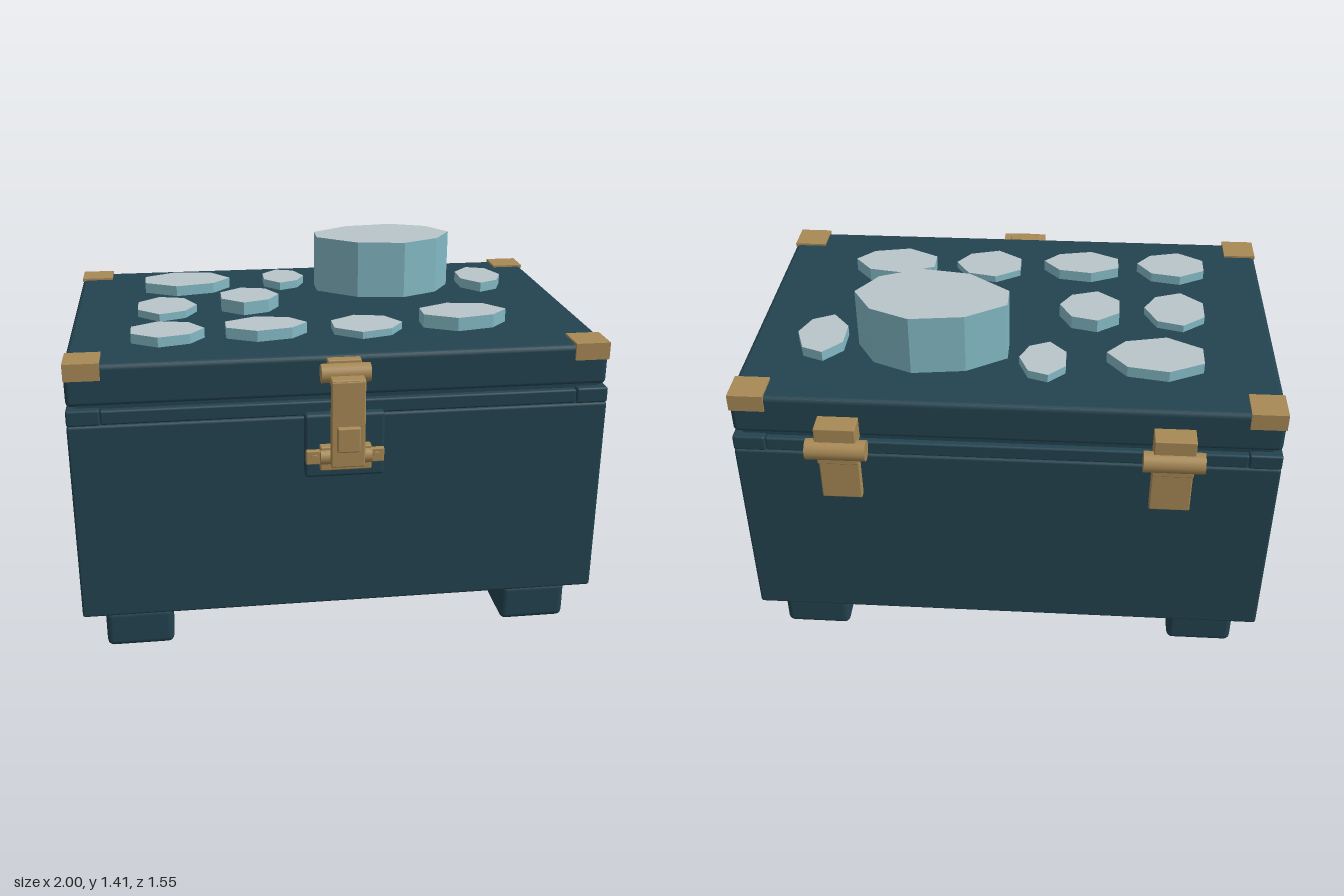
import * as THREE from 'three';
import { RoundedBoxGeometry } from 'three/addons/geometries/RoundedBoxGeometry.js';

const material = (name, color) => {
  const m = new THREE.MeshStandardMaterial({ color });
  m.name = name;
  return m;
};

export function createModel() {
  const navy = material('navy', 0x23434f);
  const brass = material('brass', 0xa88955);
  const teal = material('teal', 0x83b9c5);
  const pale = material('pale', 0xb8c5c9);

  const model = new THREE.Group();
  model.name = 'jewelChest';

  const add = (parent, name, geometry, mat) => {
    const mesh = new THREE.Mesh(geometry, mat);
    mesh.name = name;
    parent.add(mesh);
    return mesh;
  };
  // Box given by its limits; r rounds its edges
  const block = (parent, name, mat, [x0, x1], [y0, y1], [z0, z1], r = 0) => {
    const size = [x1 - x0, y1 - y0, z1 - z0];
    const g = r ? new RoundedBoxGeometry(...size, 2, r) : new THREE.BoxGeometry(...size);
    const mesh = add(parent, name, g, mat);
    mesh.position.set((x0 + x1) / 2, (y0 + y1) / 2, (z0 + z1) / 2);
    return mesh;
  };
  // Cylinder lying along x
  const rod = (parent, name, mat, x, y, z, r, length) => {
    const mesh = add(parent, name, new THREE.CylinderGeometry(r, r, length, 24).rotateZ(Math.PI / 2), mat);
    mesh.position.set(x, y, z);
    return mesh;
  };
  const group = (name) => {
    const g = new THREE.Group();
    g.name = name;
    model.add(g);
    return g;
  };

  // Body: core, boards, rim and base
  const body = group('body');
  block(body, 'core', navy, [-0.965, 0.965], [0.17, 1.03], [-0.66, 0.61]);
  block(body, 'base', navy, [-0.92, 0.92], [0.14, 0.19], [-0.595, 0.575], 0.008);
  block(body, 'frontBoard', navy, [-1, 1], [0.175, 0.96], [0.545, 0.64], 0.01);
  block(body, 'backBoard', navy, [-1, 1], [0.175, 0.96], [-0.69, -0.59], 0.01);
  block(body, 'frontRim', navy, [-0.88, 0.88], [0.96, 1.015], [0.55, 0.635], 0.008);
  block(body, 'backRim', navy, [-0.88, 0.88], [0.96, 1.015], [-0.685, -0.6], 0.008);
  for (const s of [-1, 1]) {
    const span = (a, b) => (s > 0 ? [a, b] : [-b, -a]);
    block(body, 'sidePanel', navy, span(0.89, 0.98), [0.15, 0.96], [-0.587, 0.542], 0.008);
    block(body, 'sideRim', navy, span(0.9, 0.985), [0.96, 1.015], [-0.575, 0.53], 0.008);
    for (const z of [[0.54, 0.64], [-0.69, -0.59]])
      block(body, 'rimCorner', navy, span(0.88, 1), [0.96, 1.02], z, 0.008);
    for (const z of [[0.35, 0.58], [-0.63, -0.4]])
      block(body, 'foot', navy, span(0.66, 0.92), [0, 0.155], z, 0.025);
  }

  // Lid with folded brass corners
  const lid = group('lid');
  block(lid, 'lidBoard', navy, [-1, 1], [1.022, 1.182], [-0.665, 0.615], 0.02);
  for (const x of [[0.87, 1], [-1, -0.87]]) {
    block(lid, 'cornerTop', brass, x, [1.175, 1.19], [0.49, 0.622]);
    block(lid, 'cornerFront', brass, x, [1.125, 1.19], [0.605, 0.622]);
    block(lid, 'cornerTop', brass, x, [1.175, 1.19], [-0.672, -0.545]);
    block(lid, 'cornerBack', brass, x, [1.125, 1.19], [-0.672, -0.655]);
  }

  // Faceted stones: [x0, x1, z0, z1, top]
  const small = [[-1, -0.45], [-0.27, -1], [0.58, -0.78], [1, 0.02], [0.6, 0.7], [-0.27, 1], [-1, 0.4]];
  const large = [[-1, -0.35], [-0.48, -0.86], [0.22, -1], [0.74, -0.65], [1, 0],
    [0.74, 0.63], [0.22, 1], [-0.45, 0.85], [-1, 0.2]];
  const stones = [
    [-0.72, -0.36, -0.475, -0.24, 1.225],
    [-0.21, -0.035, -0.505, -0.28, 1.215],
    [0.01, 0.585, -0.475, -0.105, 1.415],
    [0.635, 0.82, -0.415, -0.145, 1.222],
    [-0.745, -0.51, -0.13, 0.12, 1.212],
    [-0.41, -0.175, -0.15, 0.075, 1.235],
    [-0.765, -0.49, 0.24, 0.445, 1.22],
    [-0.41, -0.1, 0.24, 0.425, 1.225],
    [0, 0.27, 0.215, 0.44, 1.21],
    [0.355, 0.69, 0.18, 0.39, 1.235],
  ];
  const jewels = group('stones');
  for (const [x0, x1, z0, z1, top] of stones) {
    const outline = (top > 1.4 ? large : small).map(([u, v]) => new THREE.Vector2(
      (x0 + x1) / 2 + u * (x1 - x0) / 2, -((z0 + z1) / 2 + v * (z1 - z0) / 2)));
    const g = new THREE.ExtrudeGeometry(new THREE.Shape(outline), { depth: top - 1.17, bevelEnabled: false });
    add(jewels, 'stone', g.rotateX(-Math.PI / 2), [pale, teal]).position.y = 1.17;
  }

  // Front latch: backing plate, catch, pivot and hasp
  const latch = group('latch');
  block(latch, 'backingPlate', navy, [-0.148, 0.148], [0.725, 0.975], [0.62, 0.668], 0.012);
  block(latch, 'catchPlate', brass, [-0.145, 0.145], [0.785, 0.84], [0.66, 0.685], 0.005);
  block(latch, 'catchBlock', brass, [-0.095, 0.095], [0.765, 0.86], [0.66, 0.7], 0.006);
  rod(latch, 'catchRod', brass, 0, 0.82, 0.69, 0.03, 0.19);
  for (const x of [-0.115, 0.115]) {
    const screw = add(latch, 'screw', new THREE.CylinderGeometry(0.014, 0.014, 0.01, 16).rotateX(Math.PI / 2), brass);
    screw.position.set(x, 0.812, 0.688);
  }
  block(latch, 'pivotPlate', brass, [-0.062, 0.062], [1.09, 1.175], [0.61, 0.65], 0.005);
  rod(latch, 'pivot', brass, 0, 1.135, 0.672, 0.035, 0.18);
  block(latch, 'haspArm', brass, [-0.062, 0.062], [1.105, 1.135], [0.67, 0.755], 0.006);
  block(latch, 'hasp', brass, [-0.062, 0.062], [0.8, 1.13], [0.727, 0.757], 0.006);
  block(latch, 'haspGrip', brass, [-0.042, 0.042], [0.865, 0.96], [0.75, 0.775], 0.006);

  // Two back hinges
  for (const x of [-0.608, 0.606]) {
    const hinge = group('hinge');
    const span = [x - 0.075, x + 0.075];
    block(hinge, 'upperLeaf', brass, span, [1.02, 1.11], [-0.745, -0.655], 0.004);
    rod(hinge, 'knuckle', brass, x, 1.015, -0.736, 0.039, 0.22);
    block(hinge, 'neck', brass, span, [0.945, 1.0], [-0.735, -0.7], 0.004);
    block(hinge, 'lowerLeaf', brass, span, [0.775, 0.965], [-0.718, -0.685], 0.006);
  }
  return model;
}
